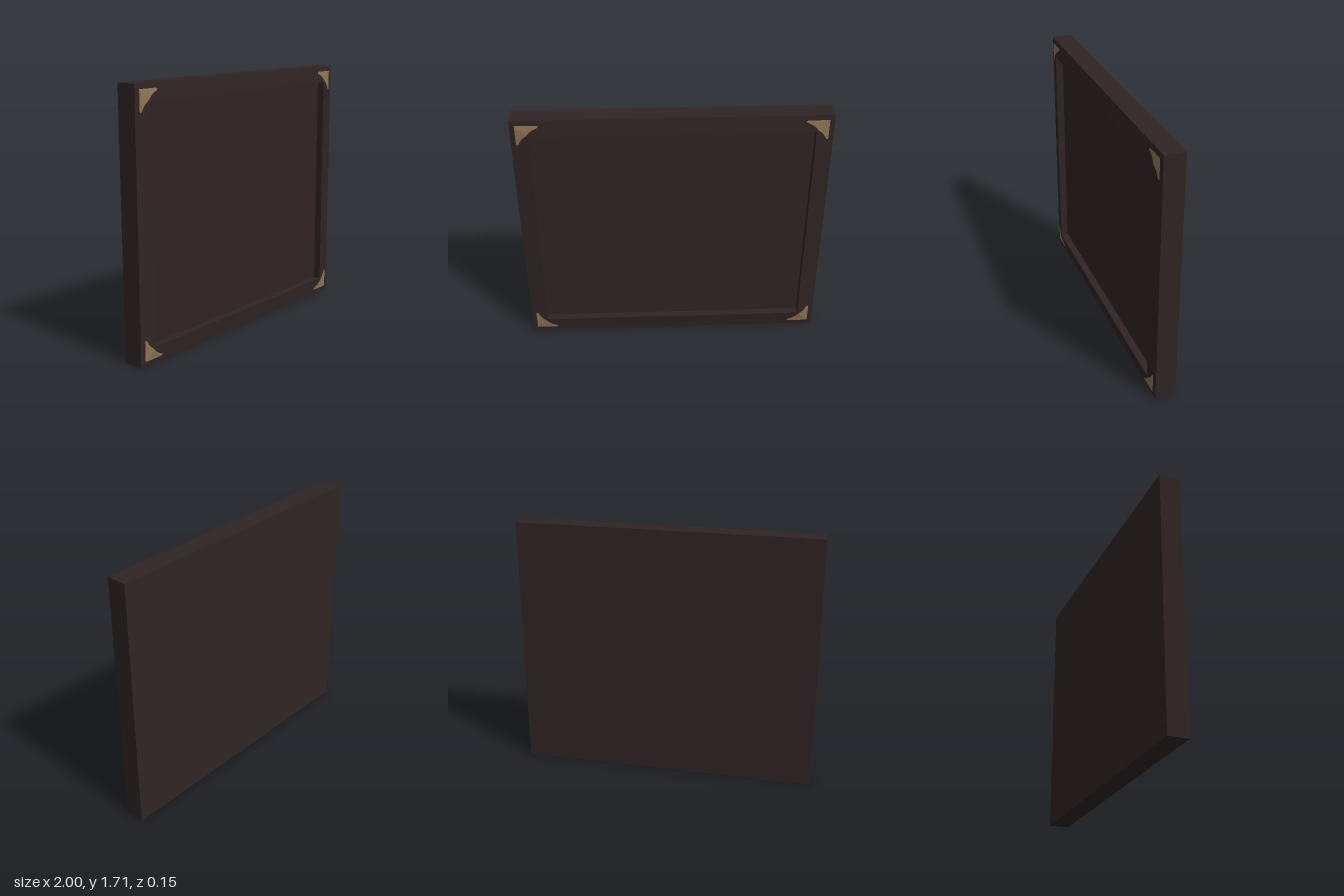
import * as THREE from 'three';

const W = 1, H = 1.705;            // half width, full height
const BORDER = 0.11;               // moulding width
const EDGE_Z = 0.06, LIP_Z = 0.075, PANEL_Z = 0.025, BACK_Z = -0.075;

const slopeZ = (d) => EDGE_Z + (LIP_Z - EDGE_Z) * d / BORDER;

// Rectangle of four corners, inset by d from the outline, at depth z
const ring = (d, z) => [
  [-W + d, d, z], [W - d, d, z], [W - d, H - d, z], [-W + d, H - d, z],
];

// Sweep a mitred profile of [inset, z] pairs around the rectangle
function sweepFrame(profile) {
  const pos = [];
  for (let i = 0; i < profile.length - 1; i++) {
    const a = ring(...profile[i]), b = ring(...profile[i + 1]);
    for (let k = 0; k < 4; k++) {
      const n = (k + 1) % 4;
      pos.push(...a[k], ...a[n], ...b[n], ...a[k], ...b[n], ...b[k]);
    }
  }
  const g = new THREE.BufferGeometry();
  g.setAttribute('position', new THREE.Float32BufferAttribute(pos, 3));
  g.computeVertexNormals();
  return g;
}

export function createModel() {
  const darkWood = new THREE.MeshStandardMaterial({ color: 0x2f2424 });
  const agedBrass = new THREE.MeshStandardMaterial({ color: 0x8d7453, side: THREE.DoubleSide });
  darkWood.name = 'darkWood';
  agedBrass.name = 'agedBrass';

  const model = new THREE.Group();
  model.name = 'framedPanel';
  const add = (name, geometry, material, parent = model) => {
    const mesh = new THREE.Mesh(geometry, material);
    mesh.name = name;
    parent.add(mesh);
    return mesh;
  };

  // Moulding: outer side, front slope rising inward, wall down to the panel
  add('frame', sweepFrame([
    [0, BACK_Z], [0, EDGE_Z], [BORDER, LIP_Z], [BORDER, PANEL_Z],
  ]), darkWood);

  // Recessed panel and flat back
  const panel = add('panel', new THREE.PlaneGeometry(2 * (W - BORDER), H - 2 * BORDER), darkWood);
  panel.position.set(0, H / 2, PANEL_Z);
  const back = add('back', new THREE.PlaneGeometry(2 * W, H), darkWood);
  back.position.set(0, H / 2, BACK_Z);
  back.rotation.y = Math.PI;

  // Corner ornament: half outline up to the mitre, as distances along and in from the edge
  const half = [
    [0.032, 0.032], [0.165, 0.032], [0.178, 0.036], [0.172, 0.047],
    [0.145, 0.059], [0.125, 0.072], [0.108, 0.089], [0.099, 0.099],
  ];
  // The upright arm is slightly shorter than the level one
  const shorten = (u) => (u > 0.1 ? 0.1 + (u - 0.1) * 0.87 : u);

  function ornamentHalf(sx, top, upright) {
    const pts = half.map(([u, v]) => {
      const dx = upright ? v : u, dy = upright ? shorten(u) : v;
      return new THREE.Vector2(sx * (W - dx), top ? H - dy : dy);
    });
    const g = new THREE.ShapeGeometry(new THREE.Shape(pts));
    const p = g.attributes.position;
    for (let i = 0; i < p.count; i++) {
      const dx = W - Math.abs(p.getX(i));
      const dy = top ? H - p.getY(i) : p.getY(i);
      p.setZ(i, slopeZ(Math.min(dx, dy)) + 0.002);
    }
    g.computeVertexNormals();
    return g;
  }

  for (const sx of [-1, 1]) {
    for (const top of [false, true]) {
      const corner = new THREE.Group();
      corner.name = (top ? 'upper' : 'lower') + (sx > 0 ? 'Left' : 'Right') + 'Ornament';
      add('levelArm', ornamentHalf(sx, top, false), agedBrass, corner);
      add('uprightArm', ornamentHalf(sx, top, true), agedBrass, corner);
      model.add(corner);
    }
  }
  return model;
}
